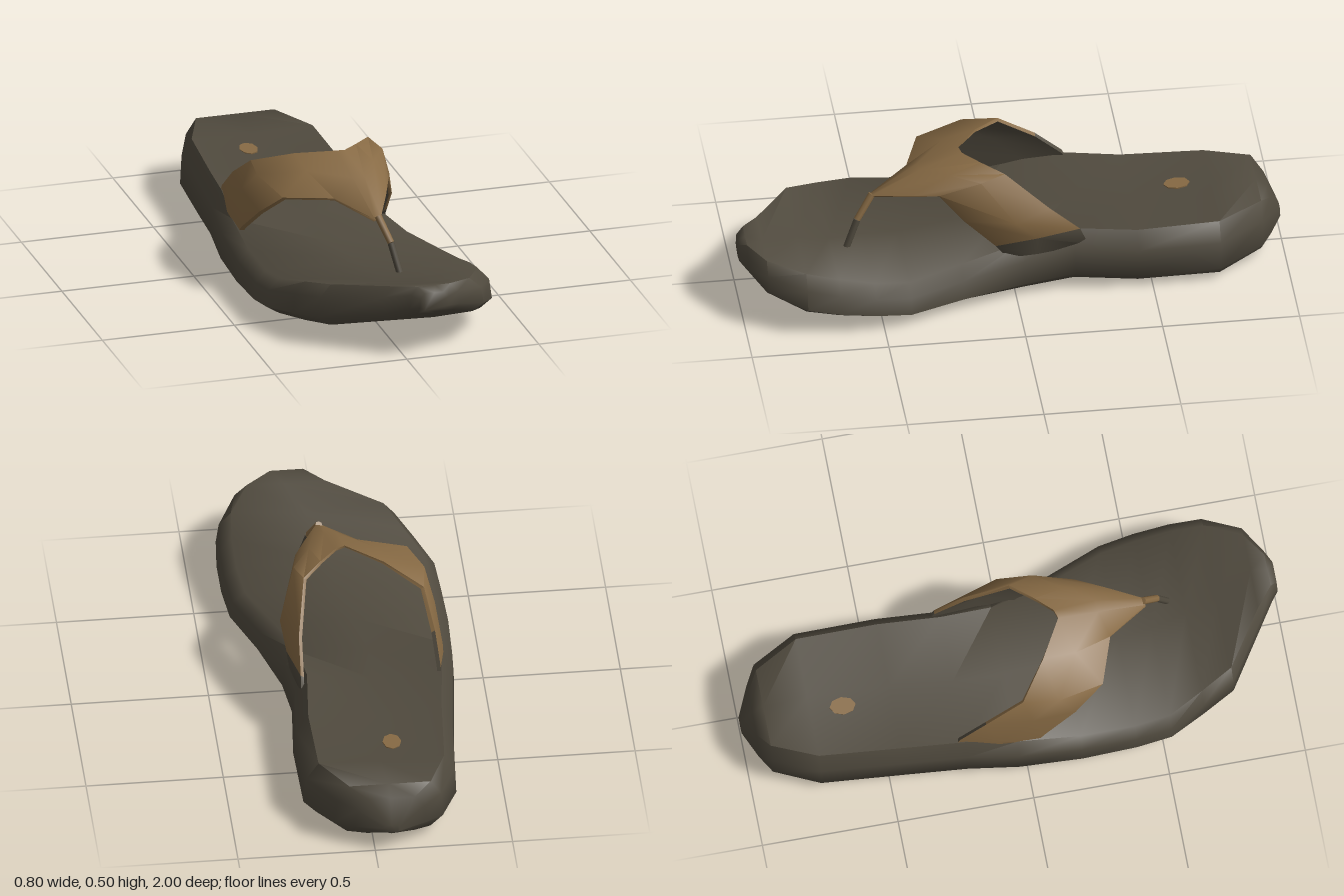
import * as THREE from 'three';
import { toCreasedNormals } from 'three/addons/utils/BufferGeometryUtils.js';

// Skin a list of equal-length closed rings; slot(i, j) picks the material of each quad.
function loft(rings, slot = () => 0, crease = 1) {
  const n = rings[0].length;
  const buckets = [[], []];
  for (let i = 0; i < rings.length - 1; i++) {
    for (let j = 0; j < n; j++) {
      const k = (j + 1) % n;
      const a = i * n + j, b = i * n + k, c = a + n, d = b + n;
      buckets[slot(i, j)].push(a, b, c, b, d, c);
    }
  }
  const last = (rings.length - 1) * n;
  for (let j = 1; j < n - 1; j++) {
    buckets[0].push(0, j + 1, j, last, last + j, last + j + 1);
  }
  const geo = new THREE.BufferGeometry();
  geo.setAttribute('position', new THREE.Float32BufferAttribute(rings.flat(2), 3));
  geo.setIndex([...buckets[0], ...buckets[1]]);
  geo.addGroup(0, buckets[0].length, 0);
  geo.addGroup(buckets[0].length, buckets[1].length, 1);
  return toCreasedNormals(geo, crease);
}

// Sole stations from heel to toe: z, right edge, left edge, bottom, top, dish depth
const SOLE = [
  [-1.0, -0.09, -0.03, 0.08, 0.115, 0],
  [-0.955, -0.19, 0.07, 0.05, 0.205, 0],
  [-0.915, -0.255, 0.14, 0.035, 0.24, 0],
  [-0.75, -0.322, 0.235, 0.008, 0.23, 0.01],
  [-0.45, -0.345, 0.24, 0.008, 0.222, 0.018],
  [-0.22, -0.37, 0.22, 0.024, 0.237, 0.035],
  [-0.03, -0.39, 0.235, 0.008, 0.203, 0.013],
  [0.2, -0.4, 0.3, 0.016, 0.172, 0.005],
  [0.4, -0.395, 0.38, 0.026, 0.163, 0],
  [0.53, -0.385, 0.397, 0.043, 0.182, 0.008],
  [0.66, -0.325, 0.4, 0.058, 0.214, 0.03],
  [0.78, -0.265, 0.39, 0.078, 0.242, 0.022],
  [0.915, -0.065, 0.318, 0.125, 0.262, 0.003],
  [0.975, 0.02, 0.21, 0.165, 0.275, 0],
  [1.0, 0.05, 0.16, 0.183, 0.255, 0],
];

function soleRing([z, x0, x1, yb, yt, dish]) {
  const w = x1 - x0, h = yt - yb, mid = (x0 + x1) / 2;
  const topIn = Math.min(0.055, w * 0.2), lowIn = Math.min(0.045, w * 0.16);
  return [
    [x0 + lowIn, yb + 0.006, z], [mid, yb, z], [x1 - lowIn, yb + 0.006, z],
    [x1, yb + h * 0.24, z], [x1 - topIn * 0.2, yb + h * 0.7, z], [x1 - topIn, yt, z],
    [mid, yt - dish, z],
    [x0 + topIn * 0.8, yt, z], [x0 + topIn * 0.1, yb + h * 0.72, z], [x0, yb + h * 0.24, z],
  ];
}

// Strap stations across the foot: back edge, outer ridge, front edge
const STRAP = [
  [[-0.325, 0.18, -0.27], [-0.345, 0.17, -0.1], [-0.35, 0.16, 0.03]],
  [[-0.32, 0.25, -0.24], [-0.345, 0.23, -0.09], [-0.34, 0.21, 0.07]],
  [[-0.31, 0.34, -0.14], [-0.328, 0.34, 0.03], [-0.31, 0.31, 0.19]],
  [[-0.285, 0.435, 0.0], [-0.3, 0.43, 0.13], [-0.255, 0.4, 0.3]],
  [[-0.15, 0.485, 0.1], [-0.14, 0.46, 0.22], [-0.08, 0.4, 0.36]],
  [[-0.015, 0.51, 0.18], [0.0, 0.46, 0.33], [0.03, 0.362, 0.51]],
  [[0.02, 0.505, 0.17], [0.045, 0.46, 0.33], [0.055, 0.37, 0.505]],
  [[0.08, 0.498, 0.11], [0.11, 0.472, 0.23], [0.115, 0.395, 0.37]],
  [[0.15, 0.487, 0.03], [0.178, 0.472, 0.12], [0.155, 0.415, 0.27]],
  [[0.185, 0.345, -0.13], [0.24, 0.325, 0.0], [0.195, 0.32, 0.18]],
  [[0.19, 0.25, -0.24], [0.225, 0.245, -0.08], [0.21, 0.215, 0.07]],
  [[0.19, 0.18, -0.27], [0.215, 0.17, -0.08], [0.21, 0.16, 0.03]],
];

// Close each strap station with a slightly smaller inner side
function strapRing(outer) {
  const inner = outer.map(([x, y, z]) => [-0.05 + (x + 0.05) * 0.95, y - 0.008, z]);
  return [...outer, ...inner.reverse()];
}

// Tapered round bar between two points
function bar(a, b, ra, rb) {
  const from = new THREE.Vector3(...a), to = new THREE.Vector3(...b);
  const dir = to.clone().sub(from);
  const geo = new THREE.CylinderGeometry(rb, ra, dir.length(), 8);
  geo.applyQuaternion(new THREE.Quaternion().setFromUnitVectors(
    new THREE.Vector3(0, 1, 0), dir.normalize()));
  const m = from.add(to).multiplyScalar(0.5);
  return geo.translate(m.x, m.y, m.z);
}

export function createModel() {
  const rubber = new THREE.MeshStandardMaterial({ color: 0x504a3e });
  rubber.name = 'dark rubber';
  const leather = new THREE.MeshStandardMaterial({ color: 0x876a44 });
  leather.name = 'tan leather';

  const group = new THREE.Group();
  group.name = 'sandal';
  const add = (name, geo, mat) => {
    const mesh = new THREE.Mesh(geo, mat);
    mesh.name = name;
    group.add(mesh);
    return mesh;
  };

  // Contoured sole
  add('sole', loft(SOLE.map(soleRing)), rubber);

  // V strap: tan outside, dark lining, dark cuff at the left end and dark back edge at the right
  const lastSpan = STRAP.length - 2;
  const strapSlot = (i, j) => {
    const lining = j === 3 || j === 4;
    const backEdge = i < 2 && j === 5;
    return lining || backEdge || i === lastSpan ? 0 : 1;
  };
  add('strap', loft(STRAP.map(strapRing), strapSlot, 1.1), [rubber, leather]);

  // Toe post: tan at the top, dark where it enters the sole
  const knee = [0.075, 0.285, 0.56];
  add('toePostUpper', bar(knee, [0.044, 0.37, 0.502], 0.013, 0.014), leather);
  add('toePostLower', bar([0.1, 0.16, 0.61], knee, 0.013, 0.013), rubber);

  // Small oval mark on the heel, following the slope of the footbed
  const mark = add('heelMark', new THREE.CylinderGeometry(1, 1, 0.006, 8), leather);
  mark.scale.set(0.034, 1, 0.048);
  mark.position.set(-0.1, 0.2165, -0.63);
  mark.rotation.x = 0.05;
  return group;
}
